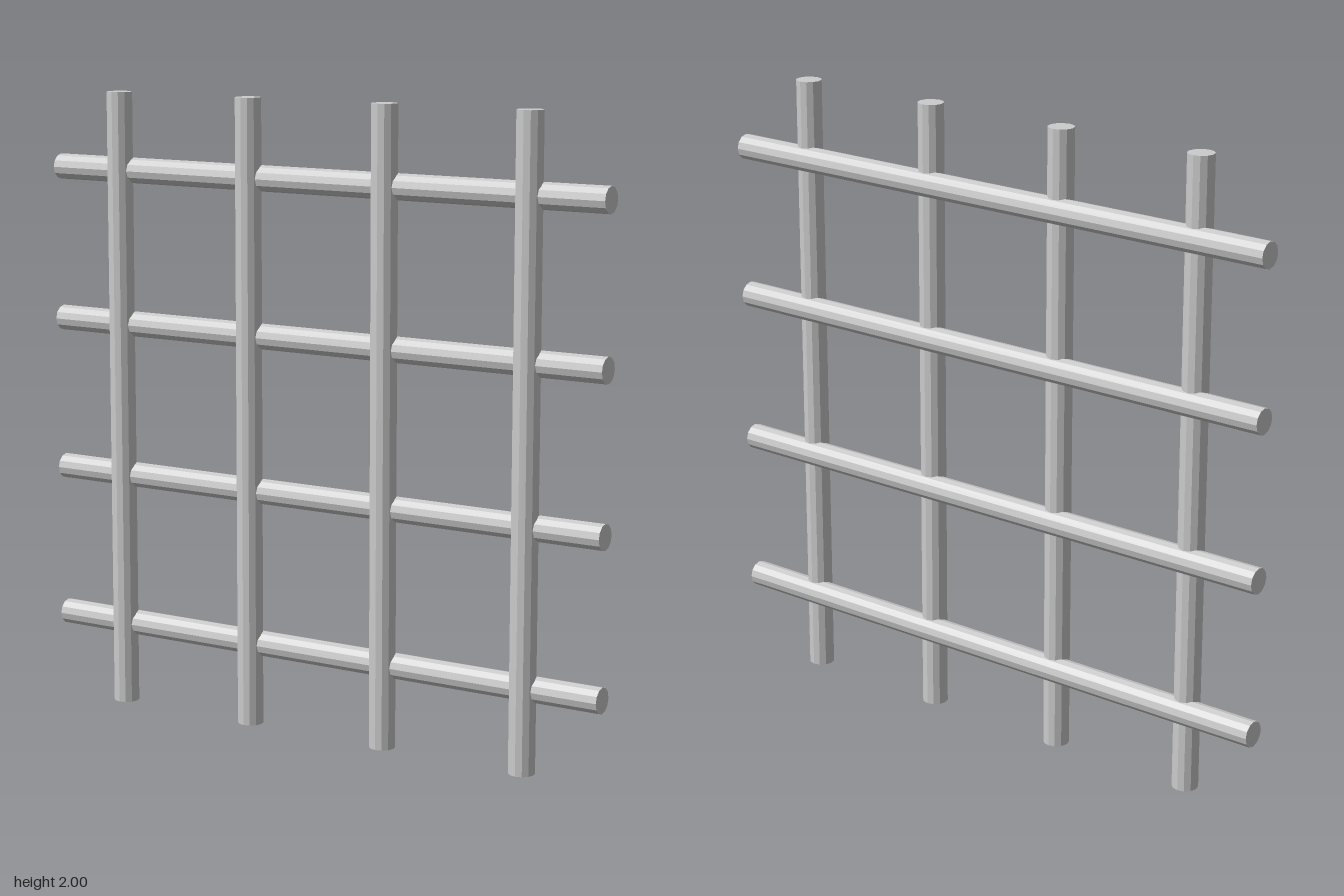
import * as THREE from 'three';

export function createModel() {
  const group = new THREE.Group();
  group.name = 'barGrid';
  const material = new THREE.MeshStandardMaterial({ color: 0xcccccc, flatShading: true });
  const barGeometry = new THREE.CylinderGeometry(0.041, 0.041, 2, 12);
  const offset = 0.0115; // the two layers of bars sink into each other

  // four evenly spaced bars each way
  for (let i = 0; i < 4; i++) {
    const along = (i - 1.5) * 0.496;

    const upright = new THREE.Mesh(barGeometry, material);
    upright.name = `verticalBar${i + 1}`;
    upright.position.set(along, 1, offset);

    const rail = new THREE.Mesh(barGeometry, material);
    rail.name = `horizontalBar${i + 1}`;
    rail.rotation.z = Math.PI / 2;
    rail.position.set(0, 1.005 + along, -offset);

    group.add(upright, rail);
  }
  return group;
}
